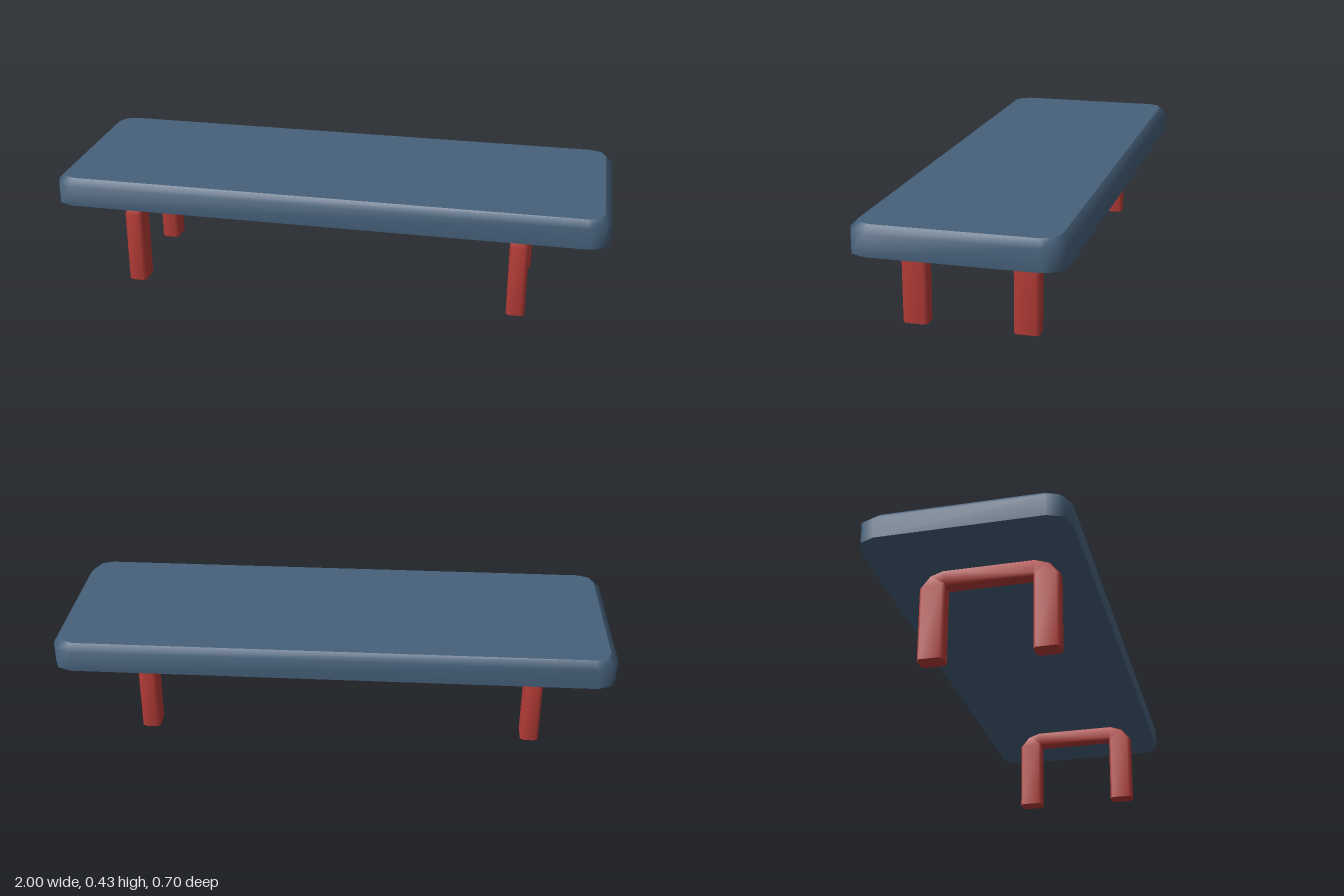
import * as THREE from 'three';

// Skin between rings of points (smooth) with separate flat end caps.
// Rings run counter-clockwise when seen from the last ring's end.
function loft(rings) {
  const n = rings[0].length;
  const pos = rings.flat(2);
  const idx = [];
  for (let r = 0; r < rings.length - 1; r++) {
    for (let i = 0; i < n; i++) {
      const a = r * n + i, b = r * n + (i + 1) % n;
      idx.push(a, b, b + n, a, b + n, a + n);
    }
  }
  const addCap = (ring, flip) => {
    const start = pos.length / 3;
    pos.push(...ring.flat());
    for (let i = 1; i < n - 1; i++) {
      if (flip) idx.push(start, start + i + 1, start + i);
      else idx.push(start, start + i, start + i + 1);
    }
  };
  addCap(rings[0], true);
  addCap(rings[rings.length - 1], false);
  const geo = new THREE.BufferGeometry();
  geo.setAttribute('position', new THREE.Float32BufferAttribute(pos, 3));
  geo.setIndex(idx);
  geo.computeVertexNormals();
  return geo;
}

// Rectangle outline with two-step rounded corners, at height y
function seatRing(y, inset) {
  const w = 1 - inset, d = 0.352 - inset;
  const r = 0.071 - inset * 0.6;
  const ring = [];
  for (let q = 0; q < 4; q++) {
    const sx = q === 0 || q === 3 ? 1 : -1, sz = q < 2 ? -1 : 1;
    for (let k = 0; k < 3; k++) {
      const a = (q + k / 2) * Math.PI / 2;
      ring.push([sx * (w - r) + r * Math.cos(a), y, sz * (d - r) - r * Math.sin(a)]);
    }
  }
  return ring;
}

// Arched support: a chamfered bar spanned between outer and inner outlines
function supportGeometry() {
  const half = [ // outer z, outer y, inner z, inner y
    [0.238, 0, 0.149, 0],
    [0.238, 0.267, 0.149, 0.267],
    [0.205, 0.308, 0.149, 0.267],
    [0.157, 0.325, 0.149, 0.267],
  ];
  const path = [...half, ...half.slice().reverse().map(([a, b, c, d]) => [-a, b, -c, d])];
  const section = [ // x, fraction from outer to inner
    [0.02, 0], [0.033, 0.12], [0.033, 0.88], [0.02, 1],
    [-0.02, 1], [-0.033, 0.88], [-0.033, 0.12], [-0.02, 0],
  ];
  return loft(path.map(([oz, oy, iz, iy]) =>
    section.map(([x, t]) => [x, oy + (iy - oy) * t, oz + (iz - oz) * t])));
}

export function createModel() {
  const blue = new THREE.MeshStandardMaterial({ color: 0x46607a });
  blue.name = 'slate blue';
  const red = new THREE.MeshStandardMaterial({ color: 0xb53c37 });
  red.name = 'brick red';

  const model = new THREE.Group();
  model.name = 'bench';

  // Padded seat with a bevelled upper edge
  const seat = new THREE.Mesh(loft([seatRing(0.325, 0), seatRing(0.4, 0), seatRing(0.425, 0.025)]), blue);
  seat.name = 'seat';
  model.add(seat);

  // Two arched leg frames, set slightly off centre
  const legGeo = supportGeometry();
  for (const side of [1, -1]) {
    const legs = new THREE.Mesh(legGeo, red);
    legs.name = side > 0 ? 'leftLegFrame' : 'rightLegFrame';
    legs.position.set(-0.018 + side * 0.71, 0, 0.033);
    model.add(legs);
  }
  return model;
}
